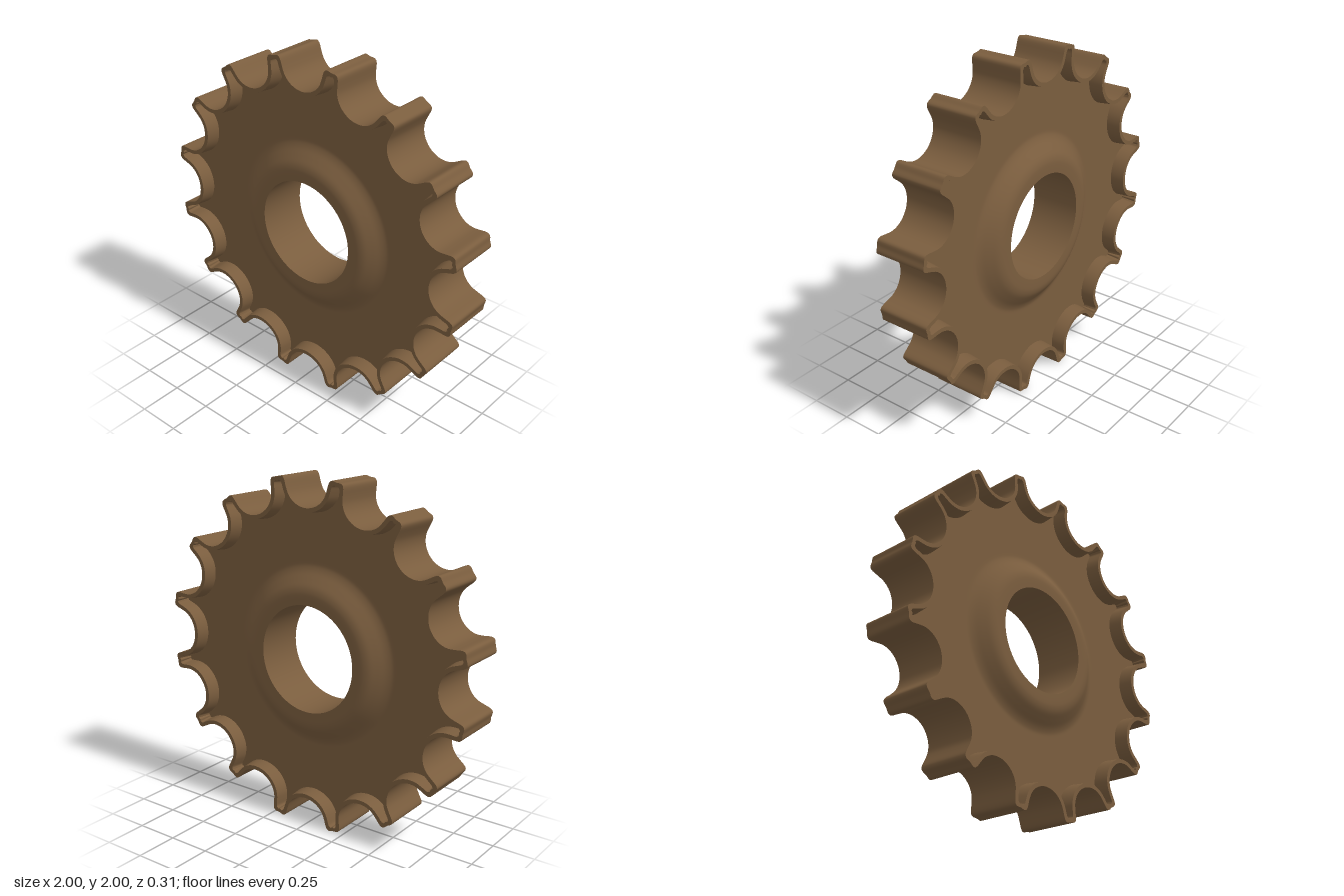
import * as THREE from 'three';

const TEETH = 16;
const HALF = 0.155;      // half thickness at the rim
const WEB = 0.072;       // half thickness of the recessed web
const BORE = 0.31;
const HUB_FOOT = 0.54;

// Half of one tooth gap: radial x, lateral y, then the inset direction into the material
const GAP = [
  [0.842, 0, -1, 0],
  [0.851, 0.05, -0.94, 0.34],
  [0.873, 0.09, -0.71, 0.71],
  [0.906, 0.119, -0.37, 0.93],
  [0.945, 0.135, -0.26, 0.97],
  [0.982, 0.147, -0.6, 0.9],
  [0.996, 0.157, -0.9, 0.9],
  [1.0, 0.17, -1, 0.5],
  [0.9925, 0.1974, -0.981, -0.195], // middle of the tooth tip
];

// Closed counterclockwise toothed outline, inset by d
function outline(d) {
  const half = GAP.map(([x, y, nx, ny]) => [x + nx * d, y + ny * d]);
  const gap = [...half.slice(1, -1).reverse().map(([x, y]) => [x, -y]), ...half];
  const points = [];
  for (let k = 0; k < TEETH; k++) {
    const a = (k / TEETH) * Math.PI * 2 + 0.0075;
    const c = Math.cos(a), s = Math.sin(a);
    for (const [x, y] of gap) points.push(new THREE.Vector3(x * c - y * s, x * s + y * c, 0));
  }
  const curve = new THREE.CatmullRomCurve3(points, true, 'centripetal');
  const n = points.length * 3;
  return Array.from({ length: n }, (_, i) => curve.getPoint(i / n));
}

// Closed band between two outlines at two depths
function band(a, za, b, zb) {
  const n = a.length, position = [], index = [];
  a.forEach((p) => position.push(p.x, p.y, za));
  b.forEach((p) => position.push(p.x, p.y, zb));
  for (let i = 0; i < n; i++) {
    const j = (i + 1) % n;
    index.push(i, j, n + j, i, n + j, n + i);
  }
  const g = new THREE.BufferGeometry();
  g.setAttribute('position', new THREE.Float32BufferAttribute(position, 3));
  g.setIndex(index);
  g.computeVertexNormals();
  return g;
}

export function createModel() {
  const model = new THREE.Group();
  model.name = 'sprocket';
  const bronze = new THREE.MeshStandardMaterial({ color: 0x7a5d3e });
  bronze.name = 'brown metal';

  const add = (geometry, name) => {
    const mesh = new THREE.Mesh(geometry, bronze);
    mesh.name = name;
    model.add(mesh);
    return mesh;
  };

  // Raised toothed rim, from the back web edge around to the front web edge
  const outer = outline(0), inner = outline(0.023), foot = outline(0.031);
  const rings = [
    [foot, -WEB], [inner, -HALF], [outer, -HALF],
    [outer, HALF], [inner, HALF], [foot, WEB],
  ];
  const bands = ['backRimWall', 'backRimEdge', 'teeth', 'frontRimEdge', 'frontRimWall'];
  bands.forEach((name, i) => add(band(...rings[i], ...rings[i + 1]), name));

  // Recessed web faces
  const web = new THREE.Shape(foot.map((p) => new THREE.Vector2(p.x, p.y)));
  web.holes.push(new THREE.Path().absarc(0, 0, HUB_FOOT, 0, Math.PI * 2, true));
  const webGeometry = new THREE.ShapeGeometry(web, 48);
  add(webGeometry, 'frontWeb').position.z = WEB;
  const backShape = new THREE.Shape(foot.map((p) => new THREE.Vector2(-p.x, p.y)).reverse());
  backShape.holes = web.holes;
  const backWeb = add(new THREE.ShapeGeometry(backShape, 48), 'backWeb');
  backWeb.rotation.y = Math.PI;
  backWeb.position.z = -WEB;

  // Flared hub on both sides
  const flare = new THREE.SplineCurve([
    [HUB_FOOT, WEB], [0.515, 0.074], [0.485, 0.087], [0.45, 0.112],
    [0.415, 0.136], [0.385, 0.147], [0.355, 0.15], [BORE, 0.15],
  ].map(([x, y]) => new THREE.Vector2(x, y))).getPoints(28);
  const lathe = (points, name) => {
    add(new THREE.LatheGeometry(points, 96).rotateX(Math.PI / 2), name);
  };
  lathe(flare, 'frontHub');
  lathe(flare.map((p) => new THREE.Vector2(p.x, -p.y)).reverse(), 'backHub');
  lathe([new THREE.Vector2(BORE, 0.15), new THREE.Vector2(BORE, -0.15)], 'bore');

  model.position.y = 1;
  return model;
}
